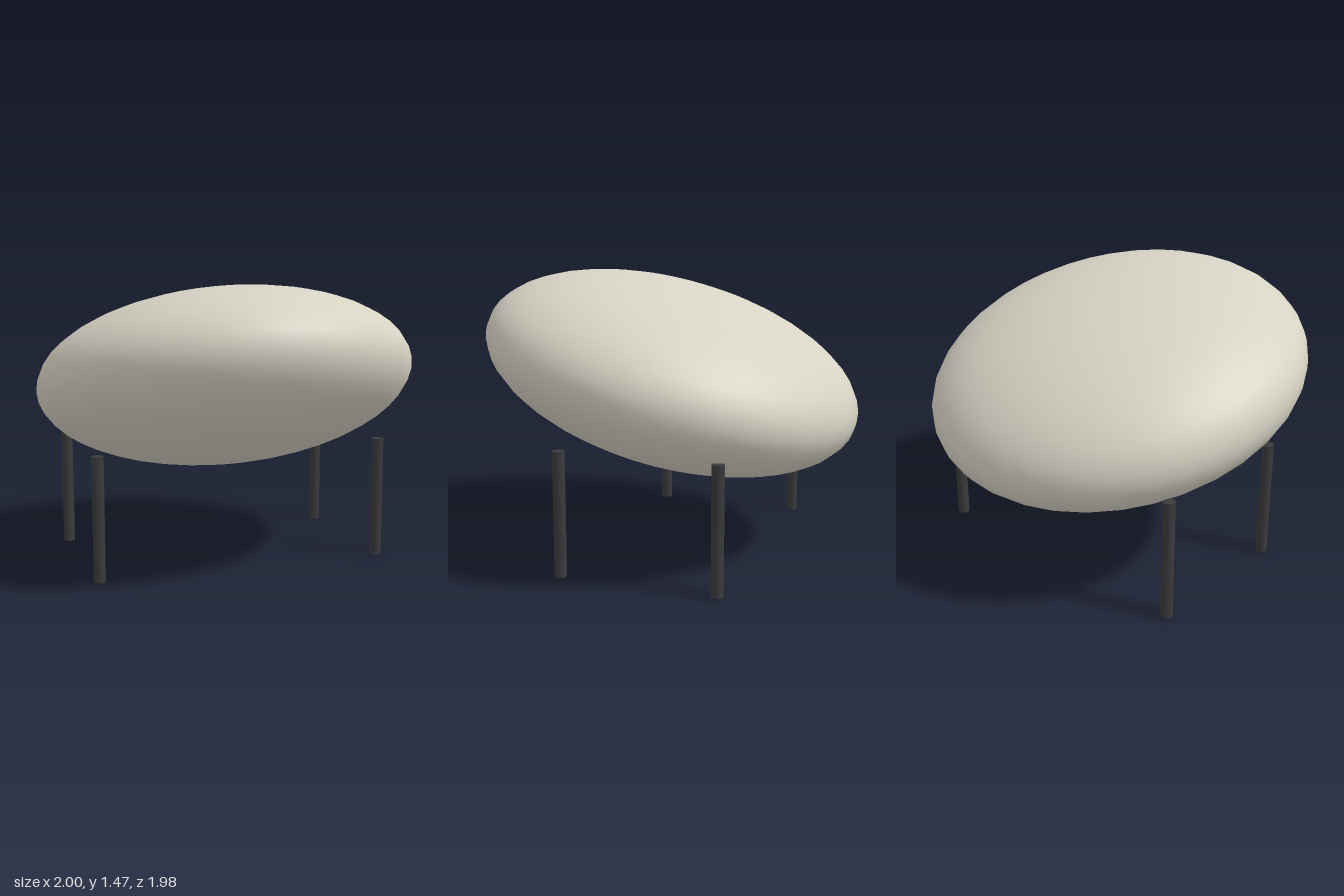
import * as THREE from 'three';

export function createModel() {
  const model = new THREE.Group();
  const shellMaterial = new THREE.MeshStandardMaterial({ color: 0xd6d2c4 });
  shellMaterial.name = 'warm stone';
  const legMaterial = new THREE.MeshStandardMaterial({ color: 0x3a3a3c });
  legMaterial.name = 'dark metal';

  // Flattened round body, raised at the front
  const body = new THREE.Mesh(new THREE.SphereGeometry(1, 36, 24), shellMaterial);
  body.name = 'body';
  body.scale.set(1, 0.455, 1.02);
  body.rotation.x = -THREE.MathUtils.degToRad(15.8);
  body.position.y = 0.955;
  model.add(body);

  // Four upright legs, mirrored left and right
  const legHeight = 0.64;
  const legGeometry = new THREE.CylinderGeometry(0.031, 0.031, legHeight, 16);
  for (const [end, z] of [['front', 0.32], ['back', -0.493]]) {
    for (const [side, x] of [['Left', 0.77], ['Right', -0.77]]) {
      const leg = new THREE.Mesh(legGeometry, legMaterial);
      leg.name = `${end}${side}Leg`;
      leg.position.set(x, legHeight / 2, z);
      model.add(leg);
    }
  }
  return model;
}
